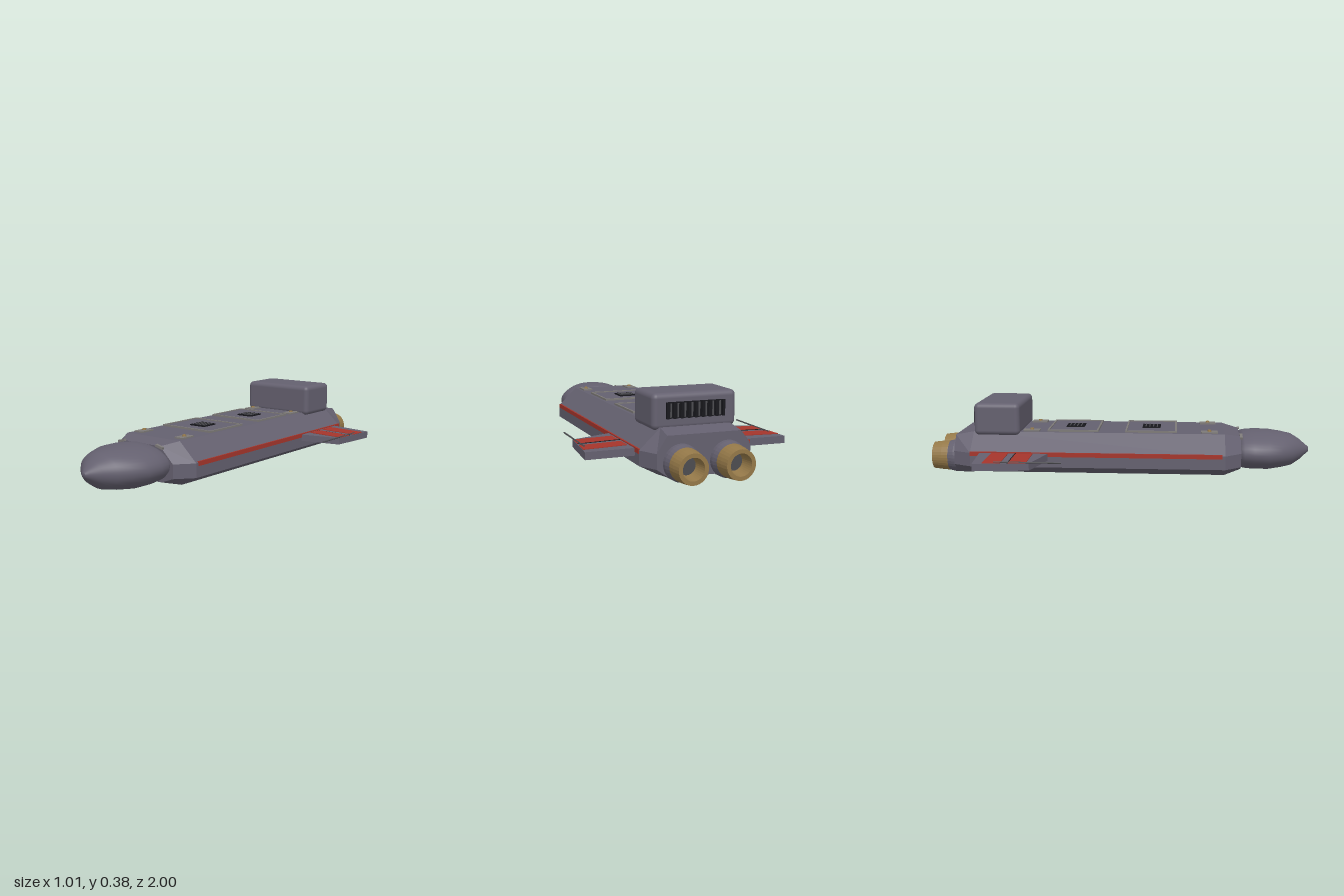
import * as THREE from 'three';
import { RoundedBoxGeometry } from 'three/addons/geometries/RoundedBoxGeometry.js';

const mat = (name, color) => {
  const m = new THREE.MeshStandardMaterial({ color });
  m.name = name;
  return m;
};

// Skin a row of rings (anticlockwise seen from +z, ordered front to back), with end caps
function loft(rings, smooth) {
  const n = rings[0].length, pos = rings.flat(2), idx = [];
  for (let i = 0; i < rings.length - 1; i++) {
    for (let j = 0; j < n; j++) {
      const a = i * n + j, b = i * n + (j + 1) % n;
      idx.push(a, a + n, b, b, a + n, b + n);
    }
  }
  const last = (rings.length - 1) * n;
  for (let j = 1; j < n - 1; j++) {
    idx.push(0, j, j + 1, last, last + j + 1, last + j);
  }
  let geo = new THREE.BufferGeometry();
  geo.setAttribute('position', new THREE.Float32BufferAttribute(pos, 3));
  geo.setIndex(idx);
  if (!smooth) geo = geo.toNonIndexed();
  geo.computeVertexNormals();
  return geo;
}

// Horizontal plate from an (x, z) outline, drooping slightly toward the wing tip
function wingPlate(points, side, top, thick) {
  const shape = new THREE.Shape(points.map(([x, z]) => new THREE.Vector2(x * side, z)));
  const geo = new THREE.ExtrudeGeometry(shape, { depth: thick, bevelEnabled: false });
  geo.rotateX(Math.PI / 2);
  const p = geo.attributes.position;
  for (let i = 0; i < p.count; i++) {
    p.setY(i, p.getY(i) + top - 0.025 * (Math.abs(p.getX(i)) - 0.27));
  }
  geo.computeVertexNormals();
  return geo;
}

export function createModel() {
  const root = new THREE.Group();
  const hullMat = mat('hullGrey', 0x64606f);
  const trimMat = mat('trimGrey', 0x7d7a78);
  const darkMat = mat('ventBlack', 0x17171c);
  const redMat = mat('stripeRed', 0xa5352b);
  const goldMat = mat('nozzleGold', 0x947848);
  const rodMat = mat('rodGrey', 0x4c4c50);

  const add = (name, geo, material, x = 0, y = 0, z = 0) => {
    const mesh = new THREE.Mesh(geo, material);
    mesh.name = name;
    mesh.position.set(x, y, z);
    root.add(mesh);
    return mesh;
  };
  const box = (name, material, w, h, d, x, y, z) =>
    add(name, new THREE.BoxGeometry(w, h, d), material, x, y, z);

  // Eight-sided hull: z, top half width, widest half width, bottom half width, top y, bottom y
  const hullRings = [
    [0.63, 0.125, 0.205, 0.13, 0.215, 0.04],
    [0.545, 0.175, 0.277, 0.185, 0.233, 0.02],
    [-0.77, 0.175, 0.277, 0.185, 0.233, 0.02],
    [-0.865, 0.18, 0.23, 0.17, 0.216, 0.025],
  ].map(([z, t, w, b, top, bot]) => [
    [w, 0.067, z], [w, 0.138, z], [t, top, z], [-t, top, z],
    [-w, 0.138, z], [-w, 0.067, z], [-b, bot, z], [b, bot, z],
  ]);
  add('hull', loft(hullRings, false), hullMat);

  // Flattened pointed nose: z, half width, half height
  const noseRings = [
    [1, 0.013, 0.013], [0.985, 0.03, 0.025], [0.95, 0.076, 0.055], [0.905, 0.126, 0.083],
    [0.85, 0.165, 0.094], [0.78, 0.2, 0.103], [0.7, 0.203, 0.103],
    [0.65, 0.198, 0.098], [0.61, 0.175, 0.085],
  ].map(([z, rx, ry]) => Array.from({ length: 40 }, (_, j) => {
    const a = j / 40 * Math.PI * 2;
    return [rx * Math.cos(a), 0.126 + ry * Math.sin(a), z];
  }));
  add('nose', loft(noseRings, true), hullMat);

  // Raised equipment block with rear grille
  add('equipmentBlock', new RoundedBoxGeometry(0.418, 0.168, 0.24, 4, 0.025), hullMat, 0, 0.302, -0.642);
  box('rearGrille', darkMat, 0.29, 0.075, 0.008, 0, 0.308, -0.763);
  for (let i = 0; i < 9; i++) {
    box('grilleBar', darkMat, 0.012, 0.075, 0.01, -0.139 + i * 0.03475, 0.308, -0.77);
  }
  for (let i = 0; i < 8; i++) {
    box('grilleGap', rodMat, 0.008, 0.065, 0.002, -0.1216 + i * 0.03475, 0.308, -0.768);
  }

  // Roof hatches: thin frame, slatted vent
  for (const z of [0.1625, -0.2475]) {
    for (const s of [-1, 1]) {
      box('hatchFrameSide', trimMat, 0.009, 0.012, 0.268, s * 0.155, 0.237, z);
      box('hatchFrameEnd', trimMat, 0.319, 0.012, 0.009, 0, 0.237, z + s * 0.13);
    }
    box('hatchPanel', hullMat, 0.302, 0.008, 0.252, 0, 0.234, z);
    box('hatchVent', darkMat, 0.094, 0.008, 0.096, 0, 0.24, z);
    for (let i = 0; i < 4; i++) {
      box('ventSlat', rodMat, 0.078, 0.003, 0.006, 0, 0.2445, z - 0.03 + i * 0.02);
    }
  }

  for (const s of [-1, 1]) {
    // Roof mounting plates with a small stud
    for (const z of [0.467, -0.467]) {
      box('mountPlate', trimMat, 0.052, 0.008, 0.086, s * 0.135, 0.236, z);
      add('mountStud', new THREE.CylinderGeometry(0.009, 0.011, 0.01, 12), goldMat, s * 0.135, 0.243, z);
    }
    // Nose clips
    const clip = box('noseClip', trimMat, 0.045, 0.012, 0.014, s * 0.125, 0.213, 0.633);
    clip.rotation.z = -s * 0.25;

    // Hull side stripe
    box('sideStripe', redMat, 0.009, 0.022, 1.3, s * 0.2755, 0.134, -0.12);

    // Wing with two red bands
    add('wing', wingPlate([[0.26, -0.722], [0.507, -0.703], [0.482, -0.425], [0.26, -0.359]], s, 0.14, 0.036), hullMat);
    add('wingBandRear', wingPlate([[0.29, -0.655], [0.5, -0.655], [0.4925, -0.567], [0.29, -0.567]], s, 0.143, 0.005), redMat);
    add('wingBandFront', wingPlate([[0.29, -0.527], [0.489, -0.527], [0.4815, -0.44], [0.29, -0.44]], s, 0.143, 0.005), redMat);
    add('wingGroove', wingPlate([[0.28, -0.533], [0.49, -0.533], [0.49, -0.527], [0.28, -0.527]], s, 0.142, 0.004), darkMat);

    // Rod at the wing tip
    const rod = add('wingRod', new THREE.CylinderGeometry(0.004, 0.004, 0.335, 8), rodMat, s * 0.478, 0.138, -0.433);
    rod.rotation.x = Math.PI / 2;

    // Engine: fairing and hollow nozzle, turned so the profile runs backward
    const lathe = (name, pts, material) => {
      const profile = pts.map(([r, z]) => new THREE.Vector2(r, z));
      const m = add(name, new THREE.LatheGeometry(profile, 32).toNonIndexed(), material, s * 0.114, 0.09, 0);
      m.geometry.computeVertexNormals();
      m.rotation.x = -Math.PI / 2;
      return m;
    };
    lathe('engineFairing', [[0, 0.64], [0.045, 0.66], [0.07, 0.7], [0.086, 0.77], [0.088, 0.83], [0.086, 0.885], [0.078, 0.918], [0, 0.918]], hullMat);
    lathe('nozzle', [[0.078, 0.905], [0.079, 0.918], [0.077, 0.95], [0.071, 1], [0.052, 1], [0.046, 0.95], [0.042, 0.925]], goldMat);
    lathe('nozzleThroat', [[0.045, 0.926], [0, 0.926]], rodMat);
  }
  return root;
}
